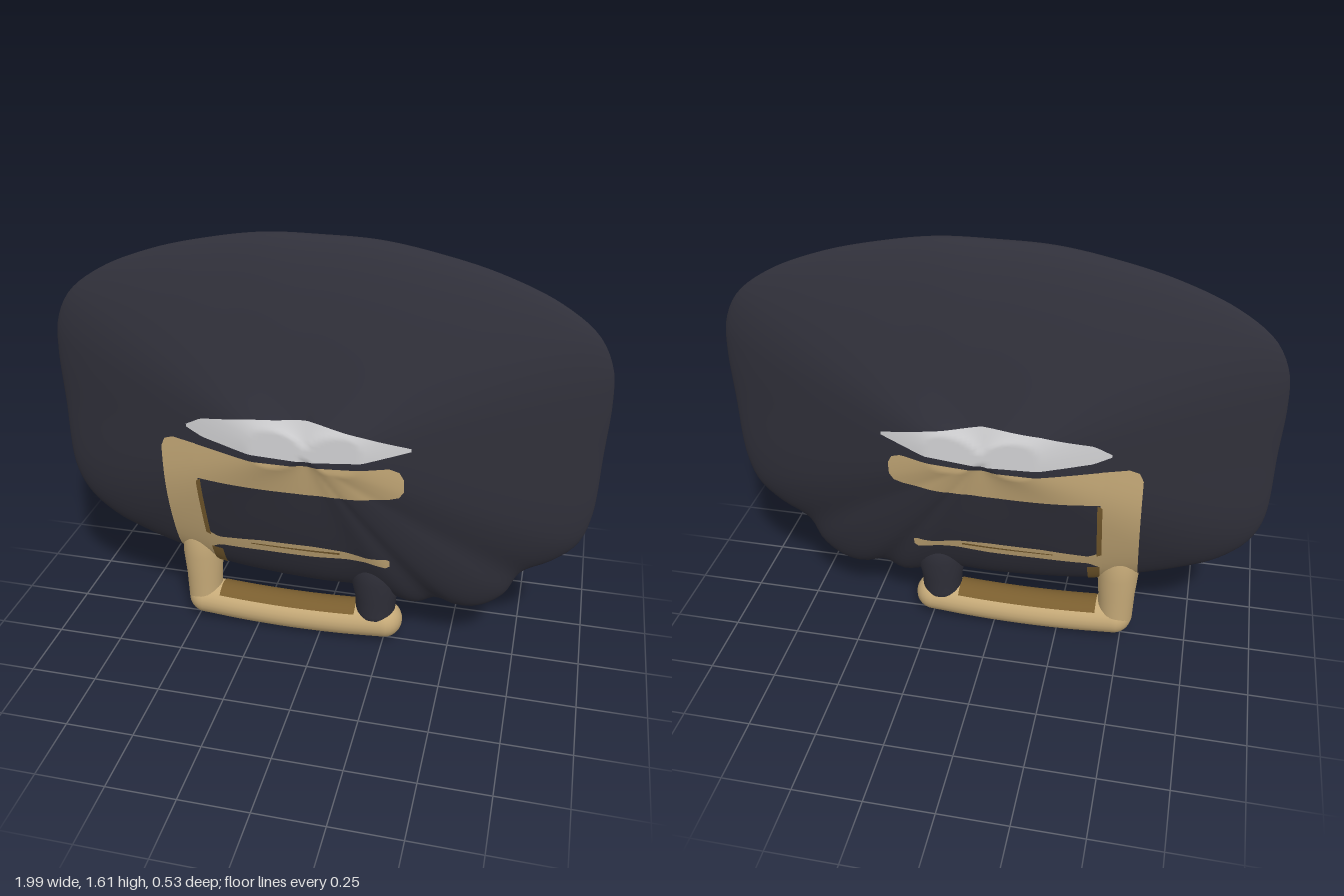
import * as THREE from 'three';
import { mergeVertices } from 'three/addons/utils/BufferGeometryUtils.js';

const CY = 0.92; // height of the thickest point

// Outline of the flattened body, counter-clockwise from the bottom
const OUTLINE = [
  [0, 0.235], [0.2, 0.235], [0.37, 0.19], [0.45, 0.225], [0.54, 0.2], [0.62, 0.215], [0.7, 0.28],
  [0.75, 0.38], [0.86, 0.45], [0.94, 0.53], [0.978, 0.65], [0.99, 0.9], [0.997, 1.1], [0.985, 1.22],
  [0.93, 1.33], [0.8, 1.43], [0.6, 1.515], [0.4, 1.567], [0.2, 1.6], [0, 1.605], [-0.2, 1.6],
  [-0.4, 1.567], [-0.6, 1.515], [-0.8, 1.43], [-0.93, 1.33], [-0.985, 1.22], [-0.997, 1.1],
  [-0.99, 0.9], [-0.978, 0.62], [-0.93, 0.51], [-0.83, 0.42], [-0.7, 0.36], [-0.55, 0.31],
  [-0.38, 0.265], [-0.2, 0.245],
];
const TAU = Math.PI * 2;
// Angle measured from straight down, 0..2PI
const angleOf = (x, y) => (Math.atan2(x, -(y - CY)) + TAU) % TAU;

const rim = new THREE.CatmullRomCurve3(
  OUTLINE.map(([x, y]) => new THREE.Vector3(x, y, 0)), true, 'centripetal',
).getPoints(500).slice(0, -1).map((p) => ({ a: angleOf(p.x, p.y), r: Math.hypot(p.x, p.y - CY) }))
  .sort((p, q) => p.a - q.a);

function rimRadius(angle) {
  const k = rim.findIndex((p) => p.a > angle);
  if (k <= 0) return rim[0].r;
  const p = rim[k - 1], q = rim[k];
  return p.r + (q.r - p.r) * (angle - p.a) / (q.a - p.a || 1);
}

// Half thickness of the body: a soft wedge falling to the rim
function thickness(x, y) {
  const r = Math.hypot(x, y - CY);
  if (r < 1e-6) return 0.26;
  const angle = angleOf(x, y);
  const s = Math.max(0, 1 - r / rimRadius(angle));
  const w = Math.sin(angle) ** 2;
  return 0.26 * Math.min(1, s / (1 - 0.2 * w)) ** (0.57 + 0.16 * w);
}

// Surface from a rule f(u, v) -> [x, y, z]
function grid(nu, nv, f) {
  const pos = [], idx = [];
  for (let i = 0; i <= nu; i++) for (let j = 0; j <= nv; j++) pos.push(...f(i / nu, j / nv));
  for (let i = 0; i < nu; i++) {
    for (let j = 0; j < nv; j++) {
      const a = i * (nv + 1) + j, b = a + nv + 1;
      idx.push(a, a + 1, b, a + 1, b + 1, b);
    }
  }
  let g = new THREE.BufferGeometry();
  g.setAttribute('position', new THREE.Float32BufferAttribute(pos, 3));
  g.setIndex(idx);
  g = mergeVertices(g, 1e-5);
  g.computeVertexNormals();
  return g;
}

// Thin inlay following the body; rows are [x, lower y, upper y]
function inlay(rows, side, lift) {
  return grid(48, 14, (u, v) => {
    const x = rows[0][0] + (rows[rows.length - 1][0] - rows[0][0]) * u;
    let k = 0;
    while (k < rows.length - 2 && x > rows[k + 1][0]) k++;
    const p = rows[k], q = rows[k + 1], t = (x - p[0]) / (q[0] - p[0]);
    const lo = p[1] + (q[1] - p[1]) * t, hi = p[2] + (q[2] - p[2]) * t;
    const y = lo + (hi - lo) * v;
    return [x, y, side * (thickness(x, y) + lift)];
  });
}

const barY = (x) => 0.07 + 0.13 * (x + 0.11) ** 2;

export function createModel() {
  const model = new THREE.Group();
  const mat = (name, color) => {
    const m = new THREE.MeshStandardMaterial({ color, side: THREE.DoubleSide });
    m.name = name;
    return m;
  };
  const black = mat('charcoal', 0x30303a);
  const gold = mat('gold', 0xc6aa78);
  const darkGold = mat('dark gold', 0x7a5e2f);
  const silver = mat('silver', 0xd2d2d4);
  const add = (name, geometry, material, parent = model) => {
    const m = new THREE.Mesh(geometry, material);
    m.name = name;
    parent.add(m);
    return m;
  };

  // Body: rings from the front centre over the rim to the back centre
  add('body', grid(200, 80, (u, v) => {
    const a = (u % 1) * TAU, q = 1 - Math.abs(1 - 2 * v);
    const t = 1 - (1 - q) ** 2, R = rimRadius(a) * t;
    const x = R * Math.sin(a), y = CY - R * Math.cos(a);
    const z = q > 0.9999 ? 0 : thickness(x, y);
    return [x, y, v < 0.5 ? z : -z];
  }), black);

  // Inlays on both faces
  const inlays = [
    ['lensPlate', silver, 0.004, [[-0.44, 0.945, 0.955], [-0.38, 0.92, 0.99], [-0.2, 0.893, 1.022],
      [0, 0.885, 1.035], [0.2, 0.905, 1.0], [0.36, 0.95, 0.962]]],
    ['upperBand', gold, 0.004, [[-0.42, 0.74, 0.885], [-0.2, 0.736, 0.866], [0, 0.734, 0.866],
      [0.2, 0.745, 0.878], [0.29, 0.755, 0.885], [0.325, 0.765, 0.87], [0.34, 0.79, 0.84]]],
    ['sideBand', gold, 0.004, [[-0.55, 0.31, 0.84], [-0.535, 0.29, 0.875], [-0.5, 0.28, 0.89], [-0.41, 0.28, 0.885]]],
    ['middleBand', gold, 0.004, [[-0.42, 0.37, 0.475], [-0.37, 0.4, 0.445], [-0.2, 0.41, 0.467], [0, 0.415, 0.473],
      [0.12, 0.425, 0.465], [0.2, 0.425, 0.45], [0.27, 0.41, 0.455], [0.285, 0.42, 0.45]]],
    ['sideBandEdge', darkGold, 0.006, [[-0.418, 0.46, 0.725], [-0.4, 0.45, 0.74]]],
    ['lowerBandEdge', darkGold, 0.005, [[-0.41, 0.28, 0.38], [-0.365, 0.275, 0.375]]],
    ['middleBandLine', darkGold, 0.006, [[-0.24, 0.44, 0.445], [0.1, 0.446, 0.456]]],
  ];
  for (const side of [1, -1]) {
    const face = new THREE.Group();
    face.name = side > 0 ? 'frontInlays' : 'backInlays';
    model.add(face);
    for (const [name, material, lift, rows] of inlays) add(name, inlay(rows, side, lift), material, face);
  }

  // Handle loop below the body
  const handle = new THREE.Group();
  handle.name = 'handle';
  model.add(handle);
  const post = (name, x, profile, material) => {
    const g = new THREE.LatheGeometry(profile.map(([r, y]) => new THREE.Vector2(r, y)), 32);
    add(name, g, material, handle).position.x = x;
  };
  post('goldPost', -0.475, [[0.066, 0.08], [0.07, 0.2], [0.078, 0.3], [0.078, 0.4], [0.045, 0.52]], gold);
  post('blackPost', 0.215, [[0.07, 0.115], [0.076, 0.135], [0.08, 0.2], [0.1, 0.29], [0.102, 0.38], [0.05, 0.54]], black);

  const barPoints = [-0.47, -0.3, -0.11, 0.08, 0.25].map((x) => new THREE.Vector3(x, barY(x), 0));
  const bar = new THREE.TubeGeometry(new THREE.CatmullRomCurve3(barPoints), 40, 0.07, 24, false);
  add('handleBar', bar, gold, handle).scale.z = 1.07;
  for (const x of [-0.47, 0.25]) {
    const end = add('handleBarEnd', new THREE.SphereGeometry(0.07, 24, 16), gold, handle);
    end.position.set(x, barY(x), 0);
    end.scale.z = 1.07;
  }
  // Dark inner face along the top of the bar
  add('handleBarInnerFace', grid(24, 12, (u, v) => {
    const x = -0.4 + 0.54 * u, a = Math.PI * (0.23 + 0.54 * v);
    return [x, barY(x) + 0.073 * Math.sin(a), 0.078 * Math.cos(a)];
  }), darkGold, handle);

  return model;
}
